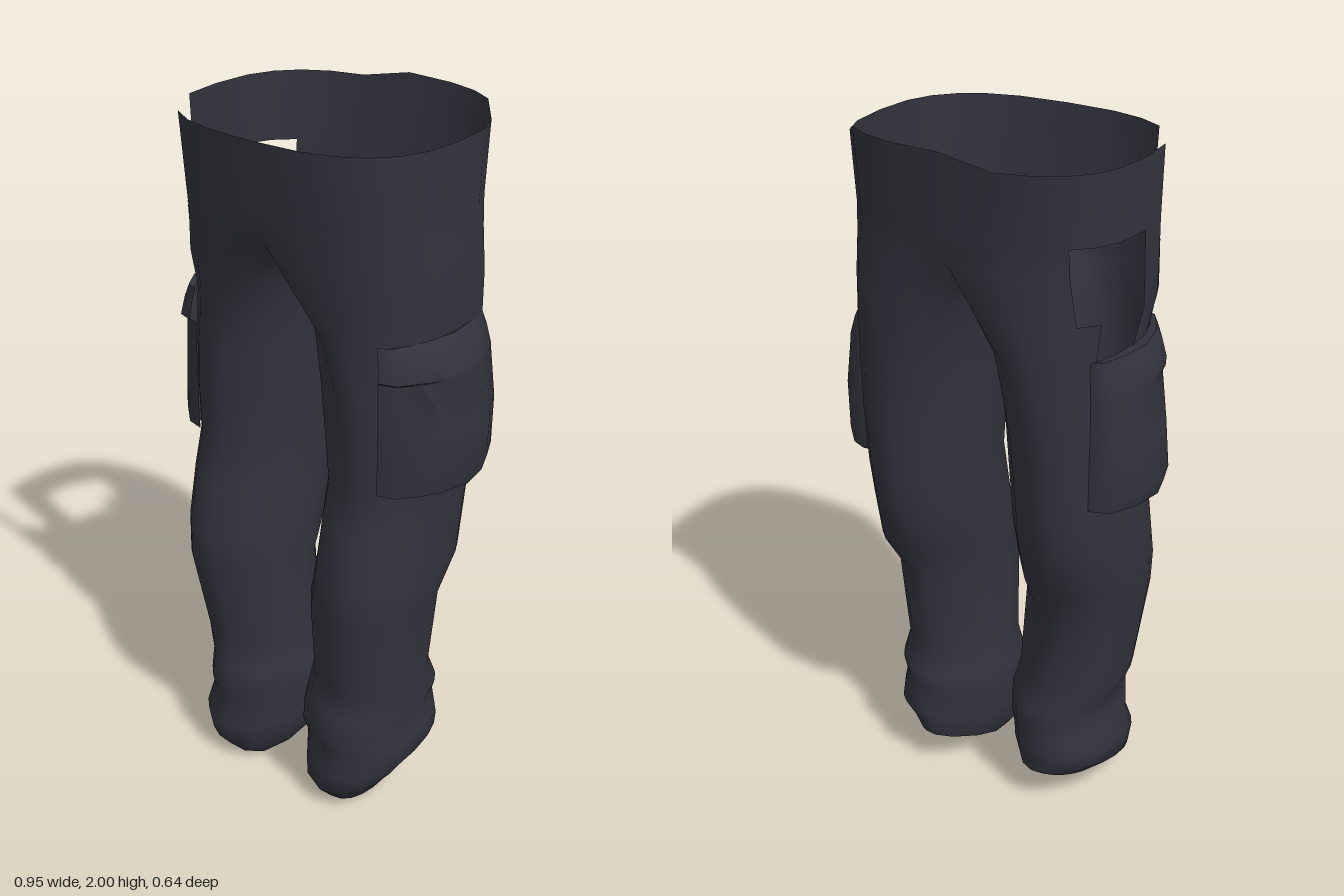
import * as THREE from 'three';
import { mergeGeometries, mergeVertices, toCreasedNormals } from 'three/addons/utils/BufferGeometryUtils.js';

const cloth = new THREE.MeshStandardMaterial({ color: 0x33333e, side: THREE.DoubleSide });
cloth.name = 'dark cloth';

const OUT = 12, IN = 6, RING = OUT + IN; // segments on the outer and inner half of a leg
const pow = (v, e) => Math.sign(v) * Math.abs(v) ** e;
const lerp = THREE.MathUtils.lerp;
const range = n => Array.from({ length: n }, (_, i) => i);

// Waist to crotch: y, half width left and right, front z, back z
const HIPS = [
  [1.97, 0.39, 0.402, 0.318, -0.318],
  [1.78, 0.39, 0.402, 0.295, -0.288],
  [1.70, 0.395, 0.405, 0.282, -0.282],
];

// Leg: y, inner x, outer x of left and right leg, front z, back z, roundness, forward tilt
const LEG = [
  [1.70, 0, 0.395, 0.405, 0.282, -0.282, 0, 0],
  [1.58, 0.01, 0.40, 0.408, 0.262, -0.28, 0.35, 0],
  [1.47, 0.022, 0.395, 0.385, 0.242, -0.272, 0.7, 0],
  [1.33, 0.03, 0.39, 0.39, 0.238, -0.262, 0.9, 0],
  [1.20, 0.037, 0.39, 0.39, 0.235, -0.25, 1, 0],
  [1.03, 0.046, 0.385, 0.395, 0.222, -0.235, 1, 0],
  [0.92, 0.046, 0.375, 0.40, 0.25, -0.228, 1, 0],
  [0.77, 0.045, 0.385, 0.40, 0.28, -0.185, 1, 0],
  [0.66, 0.042, 0.368, 0.385, 0.288, -0.115, 1, 0],
  [0.40, 0.028, 0.335, 0.355, 0.245, -0.11, 1, 0],
  [0.33, 0.012, 0.35, 0.328, 0.265, -0.14, 1, 0],
  [0.28, 0.008, 0.335, 0.32, 0.287, -0.145, 1, 0.05],
  [0.22, 0.008, 0.348, 0.335, 0.258, -0.14, 1, 0.1],
  [0.165, 0.016, 0.352, 0.348, 0.285, -0.15, 1, 0.15],
  [0.11, 0.02, 0.31, 0.34, 0.272, -0.145, 1, 0.25],
  [0.055, 0.06, 0.27, 0.28, 0.22, -0.14, 1, 0.333],
];

// Point j on the squarish outline of one hip half, from back to front
function hipPoint(j, y, w, zf, zb) {
  const a = (j / OUT - 0.5) * Math.PI;
  const s = pow(Math.sin(a), 0.75);
  return [j === 0 || j === OUT ? 0 : w * pow(Math.cos(a), 0.75), y, s > 0 ? s * zf : -s * zb];
}

// Point j on a leg ring; blends from a half hip outline into an oval
function legPoint(j, [y, xi, xl, xr, zf, zb, round, tilt], side) {
  const xo = side > 0 ? xl : xr, u = (j - OUT) / IN;
  const a = j <= OUT ? (j / OUT - 0.5) * Math.PI : (0.5 + u) * Math.PI;
  // full on the outside, rounder at the inner front, slimmer at the inner back
  const e = j <= OUT ? 0.85 : u <= 0.5 ? 1.05 : 1.25;
  const oval = [
    (xi + xo) / 2 + (xo - xi) / 2 * pow(Math.cos(a), e),
    y,
    (zf + zb) / 2 + (zf - zb) / 2 * pow(Math.sin(a), e),
  ];
  const half = j <= OUT ? hipPoint(j, y, xo - xi, zf, zb)
    : [0, y - 0.07 * Math.sin(u * Math.PI), lerp(zf, zb, u)];
  half[0] += xi;
  const p = oval.map((v, k) => lerp(half[k], v, round));
  p[1] -= tilt * (p[2] - 0.055);
  return p;
}

// Surface through rows of points; skip(row, column) leaves a quad open
function loft(rows, side, closed, skip = () => false) {
  const n = rows[0].length, pos = [], index = [];
  rows.forEach(r => r.forEach(([x, y, z]) => pos.push(x * side, y, z)));
  for (let i = 0; i < rows.length - 1; i++) {
    for (let j = 0; j < (closed ? n : n - 1); j++) {
      if (skip(i, j)) continue;
      const a = i * n + j, d = i * n + (j + 1) % n, b = a + n, e = d + n;
      if (side > 0) index.push(a, d, b, d, e, b);
      else index.push(a, b, d, d, b, e);
    }
  }
  const g = new THREE.BufferGeometry();
  g.setAttribute('position', new THREE.Float32BufferAttribute(pos, 3));
  g.setIndex(index);
  return g;
}

// Openings: a tear and a slit at the right hip, a gap above the left hem
const hipGap = (side, i, j) => side < 0 && (j === 7 || j === 8 || (i === 1 && j >= 3 && j <= 5));
const legGap = (side, i, j) => side < 0
  ? (i === 0 && ((j >= 3 && j <= 5) || j === 7)) || (i === 1 && (j === 4 || j === 5))
  : i === LEG.length - 2 && j >= 4 && j <= 6;

function trousers() {
  const parts = [];
  for (const side of [1, -1]) {
    const hips = HIPS.map(([y, wl, wr, zf, zb], i) => range(OUT + 1).map(j => {
      const p = hipPoint(j, y, side > 0 ? wl : wr, zf, zb);
      // raised back of the waistband
      if (i === 0 && p[2] < -0.22 && p[0] * side > -0.1) p[1] += 0.03;
      return p;
    }));
    const legs = LEG.map(r => range(RING).map(j => legPoint(j, r, side)));
    parts.push(loft(hips, side, false, (i, j) => hipGap(side, i, j)));
    parts.push(loft(legs, side, true, (i, j) => legGap(side, i, j)));
  }
  const g = mergeVertices(mergeGeometries(parts), 1e-4);
  g.computeVertexNormals();
  return g;
}

// Thigh pocket: an open-backed pouch, outline from back to front
const POCKET = [[0.33, -0.17], [0.37, -0.175], [0.42, -0.155], [0.458, -0.08], [0.475, 0.01],
  [0.45, 0.09], [0.415, 0.145], [0.365, 0.198], [0.31, 0.212]];
const POCKET_ROWS = [ // y, bulge of left and right pocket, flap lip at the front
  [1.475, -0.075, -0.06, 0], [1.44, -0.05, -0.045, 0.006], [1.385, -0.025, -0.03, 0.012],
  [1.375, -0.025, -0.03, 0], [1.24, 0, -0.01, 0], [1.10, -0.005, 0.005, 0], [1.055, -0.02, -0.01, 0]];

function pocket(side) {
  const rows = POCKET_ROWS.map(([y, l, r, lip]) => POCKET.map(([x, z]) => {
    const front = Math.max(0, z / 0.2);
    return [x + (side > 0 ? l : r) * (x - 0.30) / 0.175 + lip * front, y, z + lip * front];
  }));
  // top and bottom edges turn in to the thigh
  const thigh = y => POCKET.map(([, z]) =>
    [0.205 + 0.175 * (1 - (Math.abs(z) / 0.245) ** 2.35) ** 0.425, y, z]);
  return toCreasedNormals(loft([thigh(1.47), ...rows, thigh(1.065)], side, false), 1);
}

// Closed bottom of a cuff
function cuffBottom(side) {
  const ring = range(RING).map(j => legPoint(j, LEG.at(-1), side));
  const mid = [0, 1, 2].map(k => ring.reduce((s, p) => s + p[k], 0) / RING);
  return toCreasedNormals(loft([ring, ring.map(() => mid)], side, true), 0.5);
}

export function createModel() {
  const model = new THREE.Group();
  model.name = 'cargoTrousers';
  const add = (geometry, name) => {
    const mesh = new THREE.Mesh(geometry, cloth);
    mesh.name = name;
    model.add(mesh);
  };
  add(trousers(), 'hipsAndLegs');
  for (const [side, label] of [[1, 'left'], [-1, 'right']]) {
    add(pocket(side), label + 'ThighPocket');
    add(cuffBottom(side), label + 'CuffBottom');
  }
  return model;
}
